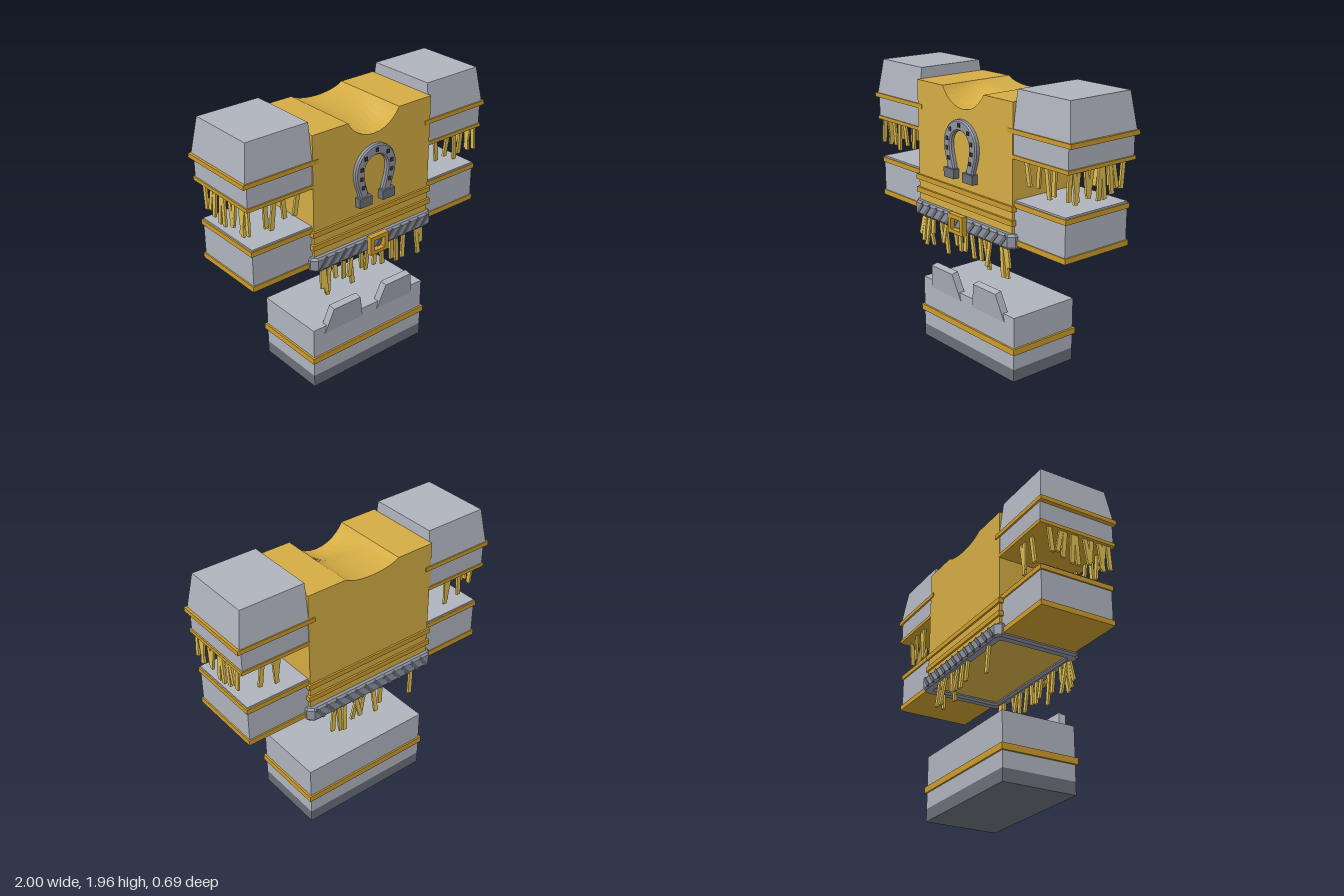
import * as THREE from 'three';

const mat = (color) => new THREE.MeshStandardMaterial({ color, flatShading: true });
const GOLD = mat(0xd4ac44), TRIM = mat(0xcb9b2c), STRAW = mat(0xdcbb50);
const GREY = mat(0xafb3bd), DARK = mat(0x696e77), IRON = mat(0x8d929e), NAIL = mat(0x3a3d44);

export function createModel() {
  const model = new THREE.Group();

  const add = (name, geometry, material, parent = model) => {
    const mesh = new THREE.Mesh(geometry, material);
    mesh.name = name;
    parent.add(mesh);
    return mesh;
  };

  // Box given by its limits on each axis
  const box = (name, material, x0, x1, y0, y1, z0, z1, parent = model) => {
    const mesh = add(name, new THREE.BoxGeometry(Math.abs(x1 - x0), y1 - y0, z1 - z0), material, parent);
    mesh.position.set((x0 + x1) / 2, (y0 + y1) / 2, (z0 + z1) / 2);
    return mesh;
  };

  const group = (name) => {
    const g = new THREE.Group();
    g.name = name;
    model.add(g);
    return g;
  };

  let seed = 7;
  const rand = () => (seed = (seed * 16807) % 2147483647) / 2147483647;

  // One straw hanging from its top end
  const straw = (parent, x, y, z, length, tiltX, tiltZ, turn = 0) => {
    const g = new THREE.BoxGeometry(0.03, length, 0.016).rotateY(turn).translate(0, -length / 2, 0);
    const mesh = add('straw', g, STRAW, parent);
    mesh.position.set(x, y, z);
    mesh.rotation.set(tiltX, 0, tiltZ);
  };

  // Torso: extruded front outline whose neck scoop gets shallower toward the back
  const TOP = 1.88, HALF = 0.21, SAG = 0.125;
  const R = (HALF * HALF + SAG * SAG) / (2 * SAG);
  const torso = new THREE.Shape();
  torso.moveTo(-0.49, 0.965);
  torso.lineTo(0.49, 0.965);
  torso.lineTo(0.49, TOP);
  for (let i = 0; i <= 14; i++) {
    const x = HALF * Math.cos((i / 14) * Math.PI);
    torso.lineTo(x, TOP - SAG + R - Math.sqrt(R * R - x * x));
  }
  torso.lineTo(-0.49, TOP);
  const torsoGeo = new THREE.ExtrudeGeometry(torso, { depth: 0.57, steps: 16, bevelEnabled: false });
  torsoGeo.translate(0, 0, -0.3);
  const p = torsoGeo.attributes.position;
  for (let i = 0; i < p.count; i++) {
    const y = p.getY(i);
    if (y < 1.7 || Math.abs(p.getX(i)) > 0.3) continue;
    const k = 0.36 + 0.64 * THREE.MathUtils.smoothstep(p.getZ(i), -0.1, 0.22);
    p.setY(i, TOP - (TOP - y) * k);
  }
  torsoGeo.computeVertexNormals();
  add('torso', torsoGeo, GOLD);
  for (const y of [1.205, 1.112]) box('torsoBand', TRIM, -0.505, 0.505, y - 0.018, y + 0.018, -0.313, 0.285);

  // Rope belt: chamfered ring with slanted strands
  const belt = group('ropeBelt');
  const outline = (path, x, zf, zb, c) => path.setFromPoints([
    [-x + c, -zf], [x - c, -zf], [x, -zf + c], [x, zb - c], [x - c, zb], [-x + c, zb], [-x, zb - c], [-x, -zf + c],
  ].map(([a, b]) => new THREE.Vector2(a, b)));
  const ring = outline(new THREE.Shape(), 0.51, 0.295, 0.325, 0.03);
  ring.holes.push(outline(new THREE.Path(), 0.465, 0.25, 0.28, 0.02));
  const ringGeo = new THREE.ExtrudeGeometry(ring, {
    depth: 0.07, bevelThickness: 0.015, bevelSize: 0.012, bevelSegments: 1,
  });
  add('beltRing', ringGeo.rotateX(-Math.PI / 2).translate(0, 0.955, 0), IRON, belt);
  for (const z of [0.306, -0.336]) {
    for (let i = 0; i < 12; i++) {
      const strand = add('beltStrand', new THREE.BoxGeometry(0.024, 0.098, 0.012), DARK, belt);
      strand.position.set(-0.44 + i * 0.08, 0.99, z);
      strand.rotation.z = -0.7;
    }
  }

  // Square buckle
  const rect = (path, x, y0, y1) => path.moveTo(-x, y0).lineTo(x, y0).lineTo(x, y1).lineTo(-x, y1).closePath();
  const frame = rect(new THREE.Shape(), 0.077, 0.925, 1.057);
  frame.holes.push(rect(new THREE.Path(), 0.046, 0.95, 1.028));
  add('buckle', new THREE.ExtrudeGeometry(frame, { depth: 0.04, bevelEnabled: false }).translate(0, 0, 0.304), TRIM);

  // Straw skirt under the belt: x, length, sideways tilt
  const skirt = group('strawSkirt');
  const front = [
    [-0.43, 0.16, -0.1], [-0.4, 0.24, 0.12], [-0.37, 0.23, -0.12], [-0.33, 0.13, 0.05], [-0.25, 0.18, 0.06],
    [-0.2, 0.24, 0.12], [-0.18, 0.17, -0.18], [-0.1, 0.16, 0.1], [-0.04, 0.19, -0.04], [0.03, 0.17, -0.08],
    [0.08, 0.2, 0.1], [0.17, 0.19, 0.05], [0.21, 0.24, 0.14], [0.28, 0.2, -0.1], [0.39, 0.23, 0.12],
    [0.42, 0.24, 0.06], [0.44, 0.16, 0.08], [-0.42, 0.2, 0.03],
  ];
  const back = [
    [0.3, 0.2, 0.12], [0.27, 0.24, -0.1], [0.22, 0.22, 0.08], [0.13, 0.18, -0.2], [0.1, 0.22, 0.15],
    [0.05, 0.17, 0.2], [-0.02, 0.2, -0.06], [-0.09, 0.16, 0.08], [-0.36, 0.21, 0.06],
  ];
  for (const [x, l, t] of front) straw(skirt, x, 0.96, 0.27, l, (rand() - 0.5) * 0.3, t);
  for (const [x, l, t] of back) straw(skirt, x, 0.96, -0.3, l, (rand() - 0.5) * 0.3, t);

  // Horseshoe on the chest
  const shoe = group('horseshoe');
  const arch = new THREE.Shape();
  arch.moveTo(0.12, 1.34);
  arch.bezierCurveTo(0.125, 1.4, 0.16, 1.43, 0.16, 1.52);
  arch.absarc(0, 1.52, 0.16, 0, Math.PI, false);
  arch.bezierCurveTo(-0.16, 1.43, -0.125, 1.4, -0.12, 1.34);
  arch.lineTo(-0.07, 1.34);
  arch.bezierCurveTo(-0.075, 1.4, -0.105, 1.44, -0.105, 1.52);
  arch.absarc(0, 1.52, 0.105, Math.PI, 0, true);
  arch.bezierCurveTo(0.105, 1.44, 0.075, 1.4, 0.07, 1.34);
  add('horseshoeArch', new THREE.ExtrudeGeometry(arch, {
    depth: 0.03, bevelThickness: 0.01, bevelSize: 0.009, bevelSegments: 1, curveSegments: 10,
  }).translate(0, 0, 0.262), IRON, shoe);
  const nail = (x, y) => box('horseshoeNail', NAIL, x - 0.011, x + 0.011, y - 0.013, y + 0.013, 0.28, 0.308, shoe);
  nail(0, 1.655);
  for (const s of [1, -1]) {
    box('horseshoeHeel', DARK, s * 0.045, s * 0.15, 1.287, 1.352, 0.262, 0.316, shoe);
    for (const [x, y] of [[0.092, 1.617], [0.125, 1.55], [0.127, 1.485], [0.112, 1.42]]) nail(s * x, y);
  }

  for (const s of [1, -1]) {
    // Shoulder: tapered cap over a block with two trims
    const shoulder = group(s > 0 ? 'leftShoulder' : 'rightShoulder');
    const cap = new THREE.BoxGeometry(1, 1, 1);
    const c = cap.attributes.position;
    for (let i = 0; i < c.count; i++) {
      const top = c.getY(i) > 0, outer = c.getX(i) * s > 0, fore = c.getZ(i) > 0;
      c.setXYZ(i, s * (outer ? (top ? 0.945 : 0.985) : (top ? 0.49 : 0.482)), top ? 1.955 : 1.7,
        fore ? (top ? 0.232 : 0.266) : (top ? -0.268 : -0.302));
    }
    add('shoulderCap', cap, GREY, shoulder);
    box('shoulderBlock', GREY, s * 0.49, s * 0.97, 1.55, 1.7, -0.295, 0.262, shoulder);
    box('shoulderTrim', TRIM, s * 0.445, s, 1.685, 1.715, -0.308, 0.274, shoulder);
    box('shoulderHem', TRIM, s * 0.485, s * 0.98, 1.527, 1.552, -0.303, 0.27, shoulder);

    // Shoulder fringe: outer row, then front and back rows
    for (const [z, l, t] of [
      [0.23, 0.18, 0.05], [0.2, 0.2, -0.15], [0.16, 0.21, 0.12], [0.1, 0.17, -0.1], [0.05, 0.19, 0.15],
      [-0.02, 0.22, 0.05], [-0.04, 0.22, -0.08], [-0.1, 0.2, -0.12], [-0.13, 0.17, -0.2], [-0.22, 0.18, 0.1],
    ]) straw(shoulder, s * 0.952, 1.535, z, l, -t, s * 0.02, Math.PI / 2);
    for (const [x, l, t] of [[0.83, 0.18, -0.06], [0.76, 0.21, 0.1], [0.7, 0.16, -0.12], [0.58, 0.17, 0.15]])
      straw(shoulder, s * x, 1.535, 0.235, l, 0.04, s * t);
    for (const [x, l, t] of [[0.8, 0.2, 0.1], [0.72, 0.23, -0.1], [0.68, 0.2, 0.12]])
      straw(shoulder, s * x, 1.535, -0.25, l, -0.04, s * t);

    // Forearm
    const arm = group(s > 0 ? 'leftForearm' : 'rightForearm');
    box('forearmBlock', GREY, s * 0.485, s * 0.945, 0.97, 1.257, -0.28, 0.25, arm);
    box('forearmUpperTrim', TRIM, s * 0.485, s * 0.955, 1.212, 1.246, -0.29, 0.258, arm);
    box('forearmLowerTrim', TRIM, s * 0.485, s * 0.955, 0.965, 1.002, -0.29, 0.258, arm);
  }

  // Base with dark sole and trim
  box('base', GREY, -0.49, 0.49, 0.088, 0.457, -0.28, 0.25);
  box('sole', DARK, -0.49, 0.49, 0, 0.088, -0.28, 0.25);
  box('baseTrim', TRIM, -0.505, 0.505, 0.198, 0.242, -0.292, 0.264);

  // Toe plates leaning forward from the base
  const toe = new THREE.Shape();
  toe.moveTo(-0.165, 0).lineTo(0.165, 0).lineTo(0.115, 0.193).lineTo(-0.115, 0.193).closePath();
  const toeGeo = new THREE.ExtrudeGeometry(toe, { depth: 0.052, bevelEnabled: false }).translate(0, 0, -0.052);
  for (const s of [1, -1]) {
    const plate = add('toePlate', toeGeo, GREY);
    plate.position.set(s * 0.23, 0.4, 0.253);
    plate.rotation.x = 0.18;
  }

  return model;
}
